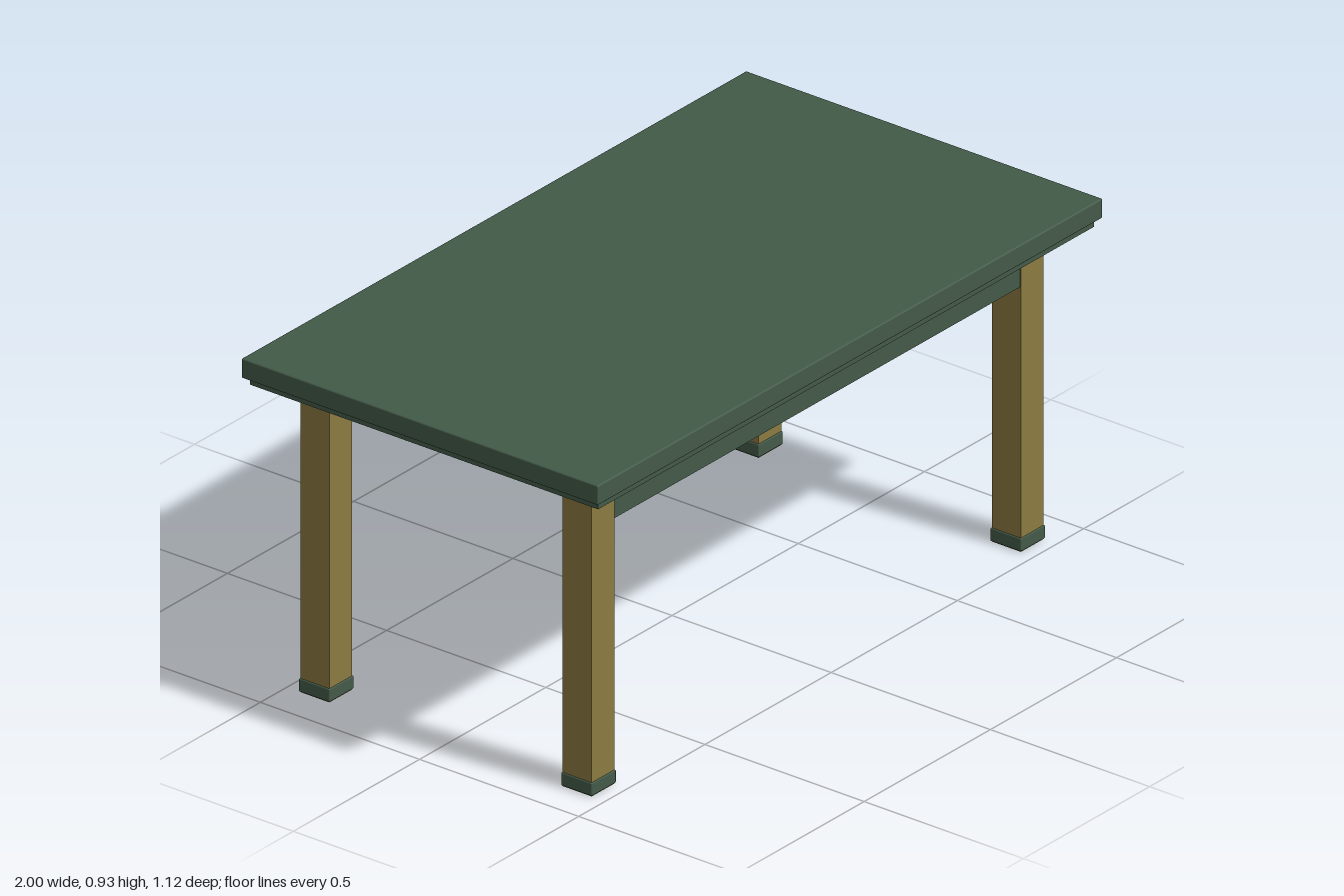
import * as THREE from 'three';
import { RoundedBoxGeometry } from 'three/addons/geometries/RoundedBoxGeometry.js';

export function createModel() {
  const table = new THREE.Group();
  table.name = 'table';

  const green = new THREE.MeshStandardMaterial({ color: 0x435a48 });
  green.name = 'dark green';
  const wood = new THREE.MeshStandardMaterial({ color: 0x8c7b42 });
  wood.name = 'ochre wood';

  // Adds a box standing on height y0 and reaching y1, with optional softened edges
  function box(name, material, width, depth, y0, y1, x = 0, z = 0, radius = 0) {
    const geometry = radius
      ? new RoundedBoxGeometry(width, y1 - y0, depth, 2, radius)
      : new THREE.BoxGeometry(width, y1 - y0, depth);
    const mesh = new THREE.Mesh(geometry, material);
    mesh.name = name;
    mesh.position.set(x, (y0 + y1) / 2, z);
    table.add(mesh);
  }

  // Top slab and the slightly smaller panel beneath it
  box('tableTop', green, 2, 1.12, 0.876, 0.93, 0, 0, 0.004);
  box('underPanel', green, 1.965, 1.094, 0.855, 0.877);

  for (const [side, z] of [['front', 1], ['back', -1]]) {
    // Long rail between the legs
    box(side + 'Apron', green, 1.71, 0.06, 0.73, 0.85, 0, z * 0.425);

    for (const [hand, x] of [['Left', 1], ['Right', -1]]) {
      // Square leg running through its foot cap to the floor
      box(side + hand + 'Leg', wood, 0.09, 0.091, 0, 0.84, x * 0.85, z * 0.412);
      box(side + hand + 'Foot', green, 0.097, 0.097, 0.002, 0.038, x * 0.85, z * 0.412, 0.003);
    }
  }
  return table;
}
